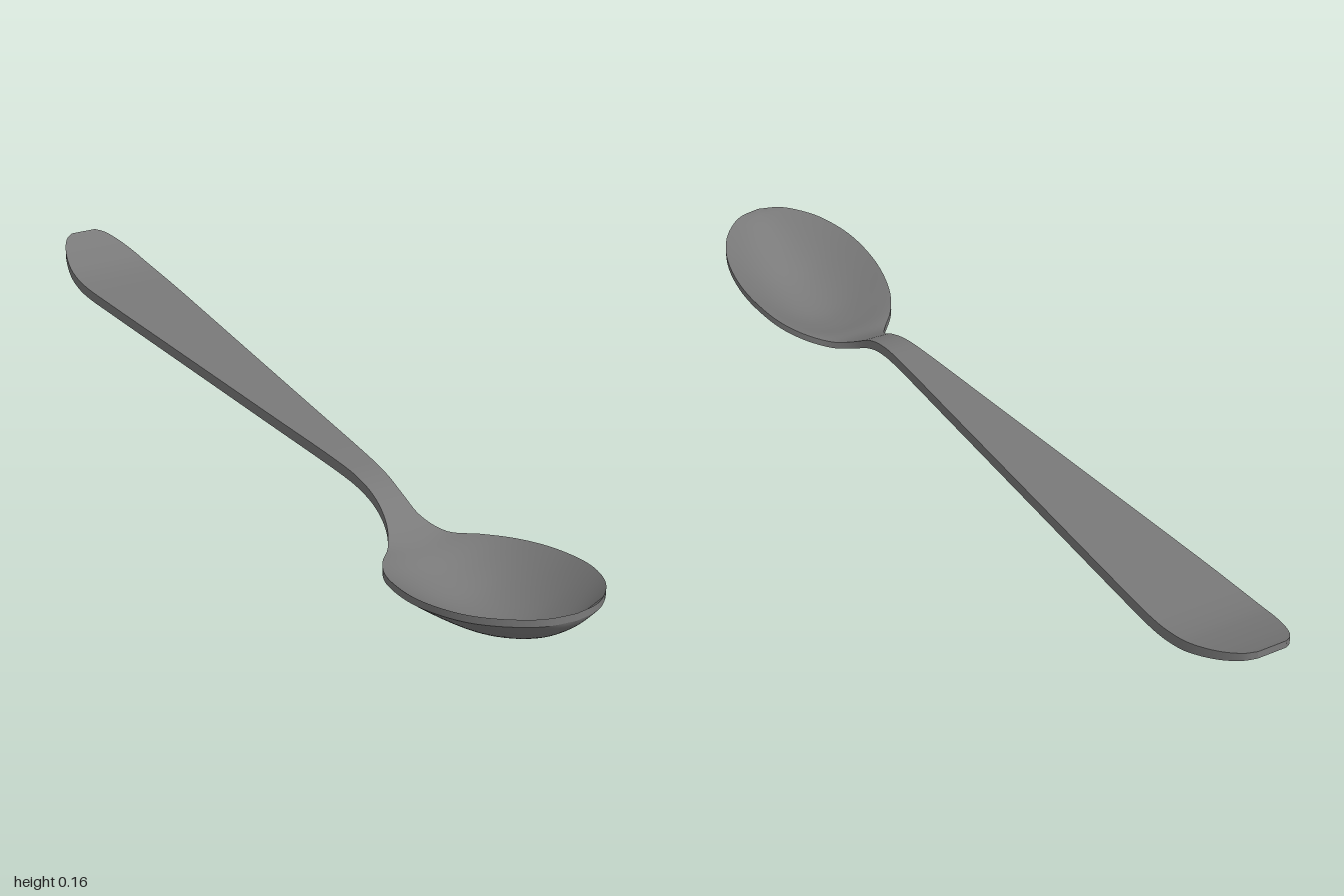
import * as THREE from 'three';

// Stations along the spoon: z, half width, edge height, centre height, thickness
const STATIONS = [
  [-1.0, 0.03, 0.164, 0.164, 0.015],
  [-0.985, 0.05, 0.158, 0.158, 0.016],
  [-0.95, 0.069, 0.146, 0.146, 0.018],
  [-0.9, 0.084, 0.132, 0.132, 0.02],
  [-0.85, 0.091, 0.122, 0.122, 0.022],
  [-0.78, 0.093, 0.117, 0.117, 0.023],
  [-0.65, 0.087, 0.117, 0.117, 0.023],
  [-0.3, 0.066, 0.117, 0.117, 0.023],
  [0.0, 0.048, 0.117, 0.117, 0.023],
  [0.25, 0.033, 0.117, 0.117, 0.023],
  [0.34, 0.029, 0.111, 0.111, 0.022],
  [0.4, 0.029, 0.094, 0.094, 0.02],
  [0.45, 0.038, 0.069, 0.069, 0.017],
  [0.5, 0.066, 0.052, 0.049, 0.015],
  [0.55, 0.108, 0.059, 0.038, 0.015],
  [0.61, 0.14, 0.071, 0.024, 0.015],
  [0.68, 0.158, 0.086, 0.015, 0.015],
  [0.75, 0.164, 0.1, 0.019, 0.015],
  [0.82, 0.158, 0.115, 0.034, 0.015],
  [0.88, 0.141, 0.127, 0.058, 0.015],
  [0.93, 0.114, 0.138, 0.085, 0.015],
  [0.97, 0.077, 0.146, 0.116, 0.015],
  [0.99, 0.045, 0.15, 0.137, 0.015],
  [1.0, 0.0, 0.152, 0.152, 0.015],
];
const ROWS = (STATIONS.length - 1) * 5;
const COLS = 24;

// Smoothly interpolated stations
function sampleStations() {
  const curve = (a, b, c) => new THREE.CatmullRomCurve3(
    STATIONS.map((s) => new THREE.Vector3(s[a], s[b], s[c])), false, 'catmullrom', 0.5);
  const outline = curve(0, 1, 2);
  const section = curve(0, 3, 4);
  return Array.from({ length: ROWS + 1 }, (_, i) => {
    const p = outline.getPoint(i / ROWS);
    const q = section.getPoint(i / ROWS);
    return { z: p.x, w: Math.max(0, p.y), edge: p.z, centre: q.y, thick: q.z };
  });
}

// Point on the upper (side 0) or lower (side 1) surface, u from -1 to 1
function point(s, u, side) {
  const rise = u * u * (1.2 - 0.2 * u * u);
  return [u * s.w, s.centre + (s.edge - s.centre) * rise - side * s.thick, s.z];
}

// Surface through a grid of points, smooth within itself
function gridGeometry(grid, flip) {
  const n = grid[0].length;
  const index = [];
  for (let i = 0; i < grid.length - 1; i++) {
    for (let j = 0; j < n - 1; j++) {
      const a = i * n + j, b = a + 1, c = a + n, d = c + 1;
      index.push(...(flip ? [a, b, c, b, d, c] : [a, c, b, b, c, d]));
    }
  }
  const g = new THREE.BufferGeometry();
  g.setAttribute('position', new THREE.Float32BufferAttribute(grid.flat(2), 3));
  g.setIndex(index);
  g.computeVertexNormals();
  return g;
}

export function createModel() {
  const steel = new THREE.MeshStandardMaterial({ color: 0x7a7a7a });
  steel.name = 'grey steel';
  const spoon = new THREE.Group();
  spoon.name = 'spoon';
  const stations = sampleStations();
  const add = (name, grid, flip = false) => {
    const mesh = new THREE.Mesh(gridGeometry(grid, flip), steel);
    mesh.name = name;
    spoon.add(mesh);
  };

  // Upper and lower faces of handle and bowl
  const face = (side) => stations.map((s) =>
    Array.from({ length: COLS + 1 }, (_, j) => point(s, (j / COLS) * 2 - 1, side)));
  add('upperFace', face(0));
  add('lowerFace', face(1), true);

  // Rim running up the left edge, round the bowl tip and back down the right
  const edge = (s, u) => [point(s, u, 0), point(s, u, 1)];
  add('rim', [
    ...stations.map((s) => edge(s, 1)),
    ...stations.slice(0, -1).reverse().map((s) => edge(s, -1)),
  ]);

  // Blunt end of the handle
  add('handleEnd', [edge(stations[0], -1), edge(stations[0], 1)]);
  return spoon;
}
